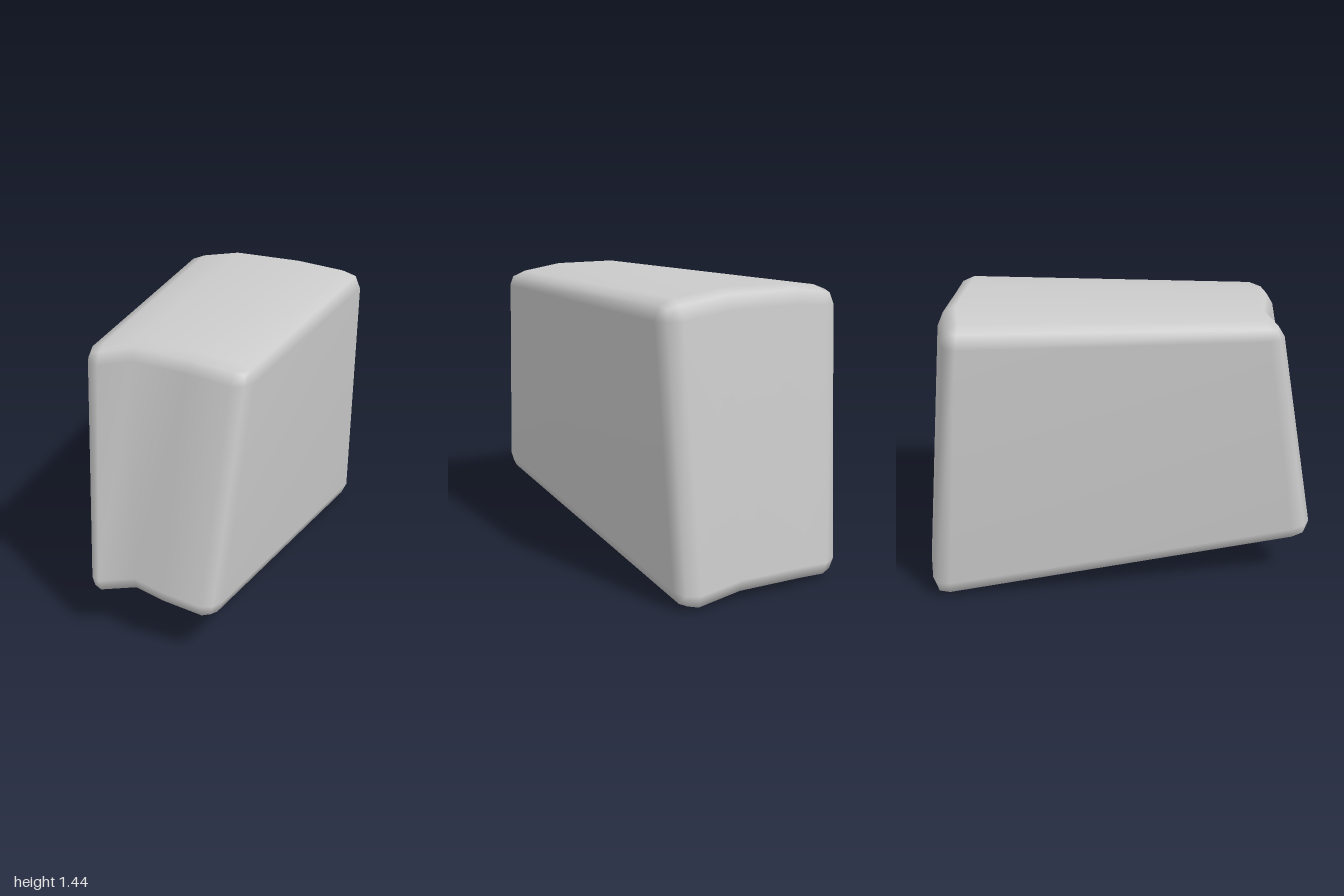
import * as THREE from 'three';
import { mergeVertices } from 'three/addons/utils/BufferGeometryUtils.js';

// Bevel size along each axis, as a share of the half width
const BEVEL = new THREE.Vector3(0.2, 0.13, 0.1);

// Grid lines across the block; x has two extra columns for the uneven faces
const LEVELS = {
  x: [-1, -1 + BEVEL.x, -0.42, 0.3, 1 - BEVEL.x, 1],
  y: [-1, -1 + BEVEL.y, 1 - BEVEL.y, 1],
  z: [-1, -1 + BEVEL.z, 1 - BEVEL.z, 1],
};

// Corners of the block: [left end (-x), right end (+x)]
const CORNERS = {
  frontTop: [[-0.515, 1.385, 0.705], [0.298, 1.385, 0.8]],
  frontBottom: [[-0.46, 0.23, 0.925], [0.185, 0.23, 1.02]],
  backTop: [[-0.5, 1.422, -0.875], [0.515, 1.422, -0.77]],
  backBottom: [[-0.445, 0, -1.0], [0.472, 0, -0.89]],
};

const snap = (v, levels) => levels[Math.round((v + 1) / 2 * (levels.length - 1))];

// Pull a point of the unit cube onto its rounded edges and corners
function roundOff(p) {
  const core = new THREE.Vector3();
  const out = new THREE.Vector3();
  for (const a of ['x', 'y', 'z']) {
    core[a] = THREE.MathUtils.clamp(p[a], BEVEL[a] - 1, 1 - BEVEL[a]);
    out[a] = (p[a] - core[a]) / BEVEL[a];
  }
  return core.add(out.normalize().multiply(BEVEL));
}

// Place a cube point between the eight block corners
function warp(p) {
  const middle = Math.abs(p.x) < 0.6;
  const front = (p.z + 1) / 2, top = (p.y + 1) / 2;
  // the middle columns draw together towards the lower front
  const u = middle ? p.x * (1 - 0.35 * front * (1 - top)) : p.x;
  const along = (name) => {
    const [a, b] = CORNERS[name].map((c) => new THREE.Vector3(...c));
    return a.lerp(b, (u + 1) / 2);
  };
  const low = along('backBottom').lerp(along('frontBottom'), front);
  const high = along('backTop').lerp(along('frontTop'), front);
  const q = low.lerp(high, top);
  // uneven hewn faces: raised middle, left column pushed back
  if (middle) q.y += 0.027;
  if (middle && p.x < 0) q.z -= THREE.MathUtils.lerp(0.03, 0.05, front);
  return q;
}

export function createModel() {
  const group = new THREE.Group();
  group.name = 'stoneBlock';

  const box = new THREE.BoxGeometry(2, 2, 2, 5, 3, 3);
  box.deleteAttribute('uv');
  box.deleteAttribute('normal');
  const geometry = mergeVertices(box);
  const pos = geometry.attributes.position;
  const p = new THREE.Vector3();
  for (let i = 0; i < pos.count; i++) {
    p.fromBufferAttribute(pos, i);
    for (const a of ['x', 'y', 'z']) p[a] = snap(p[a], LEVELS[a]);
    const q = warp(roundOff(p));
    pos.setXYZ(i, q.x, q.y, q.z);
  }
  geometry.computeVertexNormals();

  // Block body
  const body = new THREE.Mesh(geometry, new THREE.MeshStandardMaterial({ color: 0xcccccc }));
  body.name = 'blockBody';
  group.add(body);
  return group;
}
